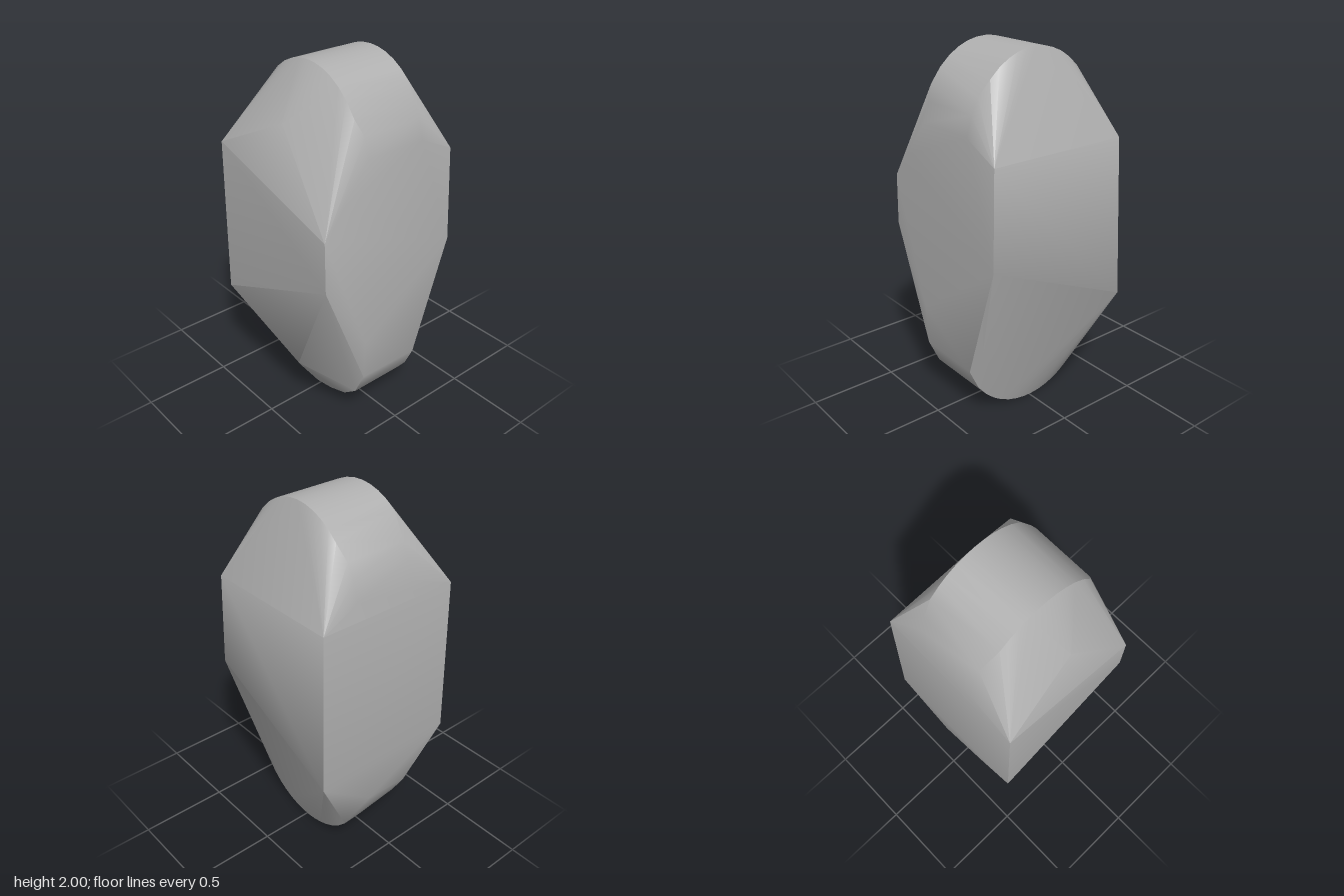
import * as THREE from 'three';
import { ConvexGeometry } from 'three/addons/geometries/ConvexGeometry.js';
import { toCreasedNormals } from 'three/addons/utils/BufferGeometryUtils.js';

export function createModel() {
  const stoneGrey = new THREE.MeshStandardMaterial({ color: 0xb0b0b0 });
  stoneGrey.name = 'stone grey';

  const points = [];
  const add = (x, y, z) => points.push(new THREE.Vector3(x, y, z));

  // Rounded crown and base: elliptical bands running front to back
  const crownY = (z) => 1.5 + 0.5 * Math.sqrt(1 - (z / 0.42) ** 2);
  const baseY = (z) => 0.45 - 0.45 * Math.sqrt(1 - (z / 0.44) ** 2);
  const crown = (x, from, to, n) => {
    for (let i = 0; i <= n; i++) {
      const z = from + (to - from) * i / n;
      add(x, crownY(z), z);
    }
  };
  crown(-0.19, -0.24, 0.34, 10);
  crown(0.217, -0.28, 0.28, 10);
  for (const x of [-0.16, 0.2]) {
    for (const z of [-0.41, -0.38, -0.34, 0.34, 0.38, 0.41]) add(x, crownY(z), z);
  }
  for (let i = 0; i <= 14; i++) {
    const z = -0.34 + 0.76 * i / 14;
    add(0.2, baseY(z), z);
    add(0.1, baseY(z) + 0.005, z);
  }
  add(0.1, 0.36, -0.43);

  // Slightly raised edge of the base on the right
  for (const [y, z] of [[0.56, 0.435], [0.33, 0.425], [0.19, 0.36], [0.12, 0.27], [0.08, 0.15],
    [0.06, 0.03], [0.07, -0.1], [0.1, -0.22], [0.19, -0.33], [0.32, -0.41]]) add(-0.18, y, z);

  // Corners of the broad side faces
  for (const [x, y, z] of [
    [-0.44, 1.26, 0.42], [-0.44, 0.98, 0.425], [-0.44, 1.51, -0.42], [-0.44, 0.61, -0.435],
    [0.41, 1.51, 0.41], [0.42, 0.98, 0.427], [0.41, 1.51, -0.415], [0.437, 0.61, -0.44],
  ]) add(x, y, z);

  // Shallow ridges on the right side and front chamfer
  add(-0.375, 1.73, 0.03);
  add(-0.37, 0.33, 0.1);
  add(-0.33, 1.4, 0.417);

  const geometry = toCreasedNormals(new ConvexGeometry(points), 0.5);
  const body = new THREE.Mesh(geometry, stoneGrey);
  body.name = 'stoneBody';

  const model = new THREE.Group();
  model.name = 'stone';
  model.add(body);
  return model;
}
